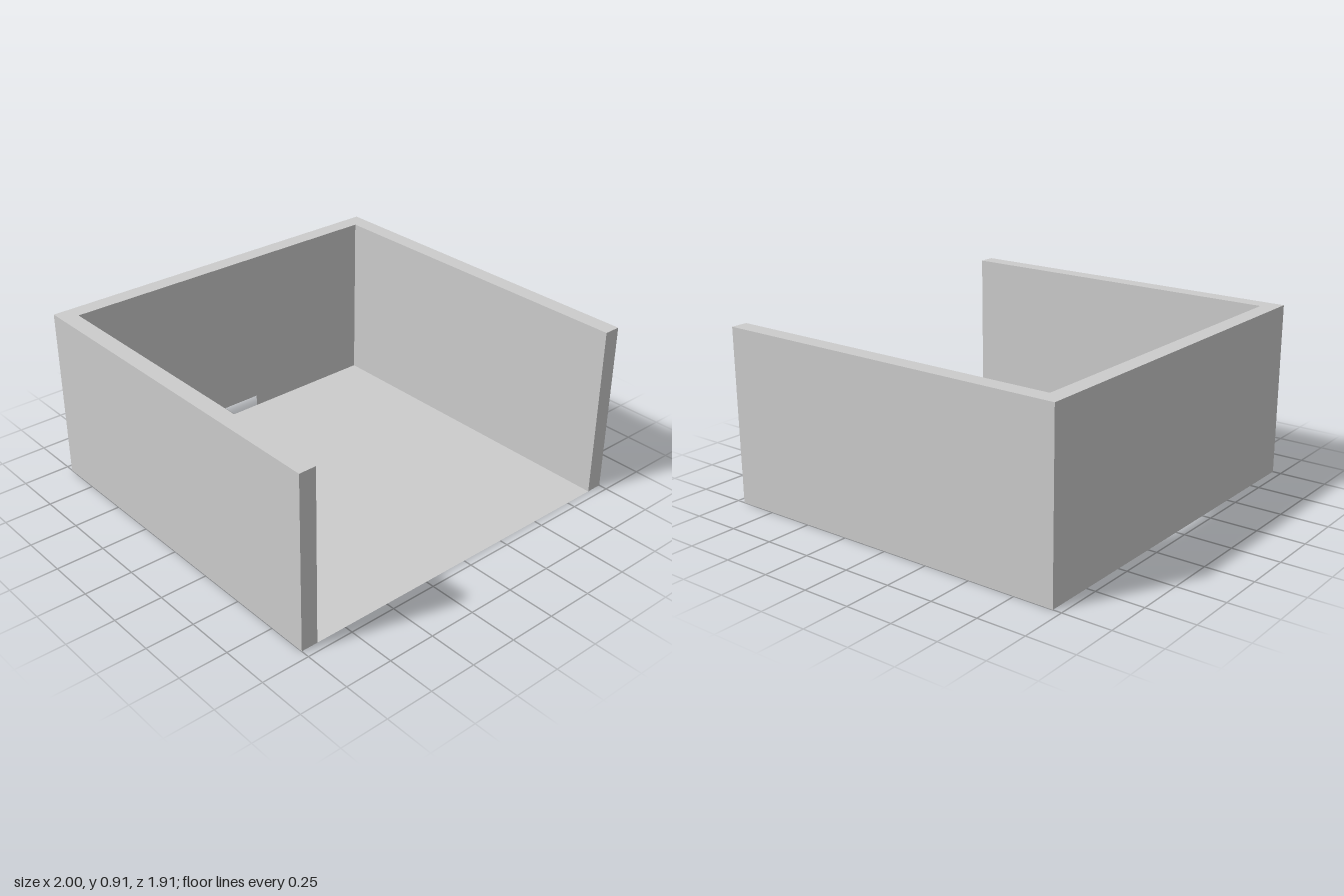
import * as THREE from 'three';

const W = 1, D = 0.955, H = 0.912, T = 0.088; // half width, half depth, height, wall thickness
const IX = W - T, IZ = -D + T;                // inner faces of the side and back walls

const shapeOf = (points) => new THREE.Shape(points.map(([x, y]) => new THREE.Vector2(x, y)));

export function createModel() {
  const model = new THREE.Group();
  model.name = 'openRoom';
  const plaster = new THREE.MeshStandardMaterial({ color: 0xcccccc, side: THREE.DoubleSide });
  plaster.name = 'grey plaster';

  const add = (name, geometry, x = 0, y = 0, z = 0, turn = 0) => {
    const mesh = new THREE.Mesh(geometry, plaster);
    mesh.name = name;
    mesh.position.set(x, y, z);
    mesh.rotation.y = turn;
    model.add(mesh);
  };
  // Upright sheet standing on the ground
  const panel = (name, width, x, z, turn) =>
    add(name, new THREE.PlaneGeometry(width, H), x, H / 2, z, turn);

  // Floor between the walls
  const floor = new THREE.PlaneGeometry(2 * IX, D - IZ).rotateX(-Math.PI / 2);
  add('floor', floor, 0, 0, (D + IZ) / 2);

  // Hollow side walls, open underneath
  for (const [side, s] of [['left', 1], ['right', -1]]) {
    panel(side + 'WallOuter', 2 * D, s * W, 0, s * Math.PI / 2);
    panel(side + 'WallInner', D - IZ, s * IX, (D + IZ) / 2, -s * Math.PI / 2);
    panel(side + 'WallEnd', T, s * (W + IX) / 2, D, 0);
  }

  // Back wall: plain outside, doorway cut only through the inner face
  panel('backWallOuter', 2 * W, 0, -D, Math.PI);
  const inner = shapeOf([
    [-IX, 0], [-0.2, 0], [-0.2, 0.54], [0.167, 0.54], [0.167, 0], [IX, 0], [IX, H], [-IX, H],
  ]);
  add('backWallInnerWithDoorway', new THREE.ShapeGeometry(inner), 0, 0, IZ);

  // U-shaped top of the walls
  const top = shapeOf([
    [-W, -D], [-IX, -D], [-IX, -IZ], [IX, -IZ], [IX, -D], [W, -D], [W, D], [-W, D],
  ]);
  add('wallTop', new THREE.ShapeGeometry(top).rotateX(-Math.PI / 2), 0, H, 0);

  return model;
}
